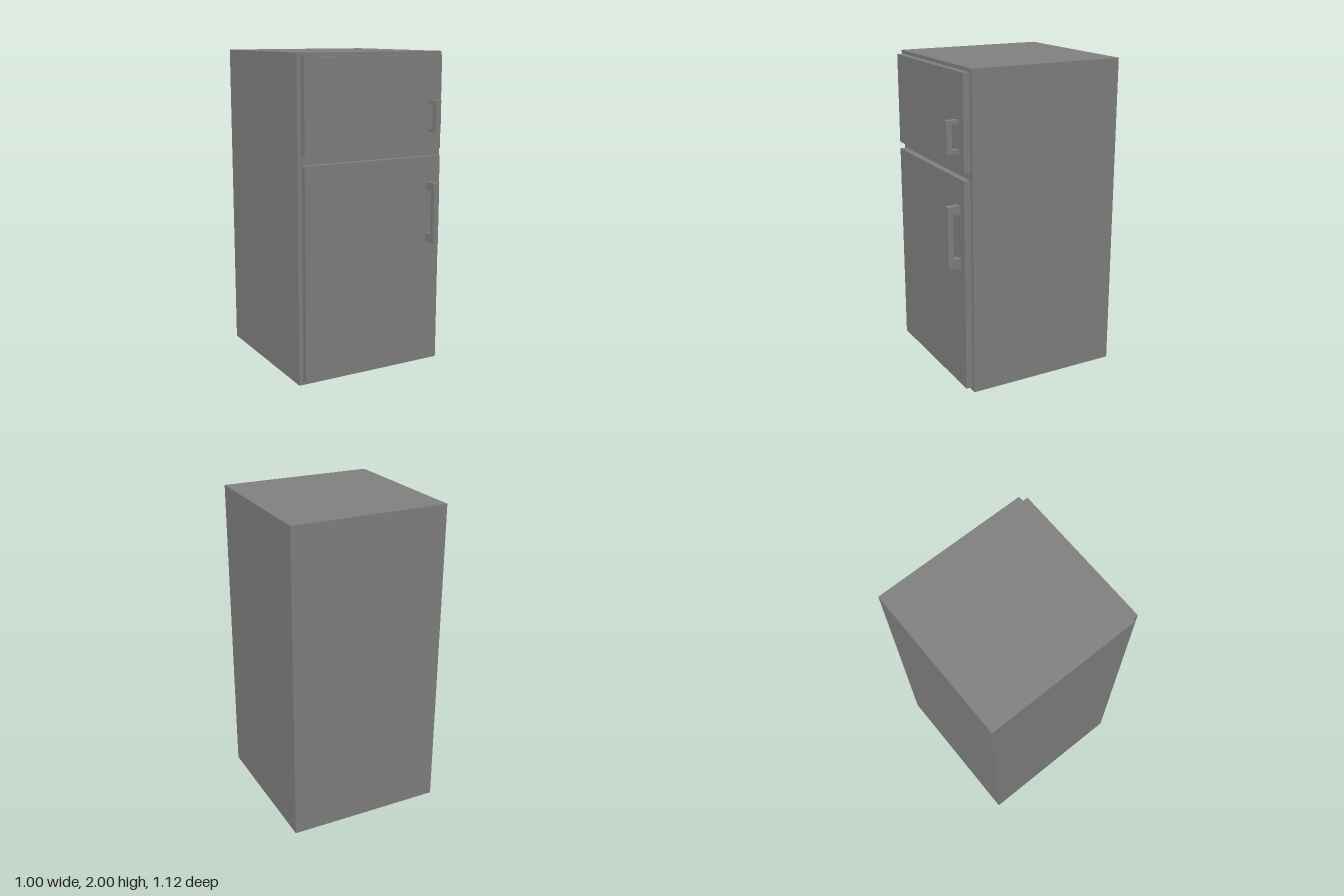
import * as THREE from 'three';

export function createModel() {
  const model = new THREE.Group();
  const grey = new THREE.MeshStandardMaterial({ color: 0x808080 });
  grey.name = 'grey';

  // Box given by its minimum and maximum corners
  function box(name, [x0, y0, z0], [x1, y1, z1]) {
    const mesh = new THREE.Mesh(new THREE.BoxGeometry(x1 - x0, y1 - y0, z1 - z0), grey);
    mesh.position.set((x0 + x1) / 2, (y0 + y1) / 2, (z0 + z1) / 2);
    mesh.name = name;
    model.add(mesh);
  }

  // C-shaped handle: side profile (z out, y up) extruded across x
  function handle(name, bottom, top, innerBottom, innerTop) {
    const back = 0.48, inner = 0.525, front = 0.56, width = 0.038;
    const profile = new THREE.Shape([
      [back, bottom], [front, bottom], [front, top], [back, top],
      [back, innerTop], [inner, innerTop], [inner, innerBottom], [back, innerBottom],
    ].map(([z, y]) => new THREE.Vector2(z, y)));
    const geometry = new THREE.ExtrudeGeometry(profile, { depth: width, bevelEnabled: false });
    geometry.rotateY(-Math.PI / 2);
    geometry.translate(0.4 + width / 2, 0, 0);
    const mesh = new THREE.Mesh(geometry, grey);
    mesh.name = name;
    model.add(mesh);
  }

  // Mirror the profile so that its x axis points to +z after the turn
  box('cabinet', [-0.5, 0, -0.56], [0.5, 2, 0.438]);
  box('freezerDoor', [-0.475, 1.4, 0.438], [0.475, 1.978, 0.48]);
  box('fridgeDoor', [-0.475, 0.024, 0.438], [0.475, 1.355, 0.48]);
  handle('freezerHandle', 1.507, 1.704, 1.532, 1.68);
  handle('fridgeHandle', 0.807, 1.194, 0.866, 1.141);

  return model;
}
